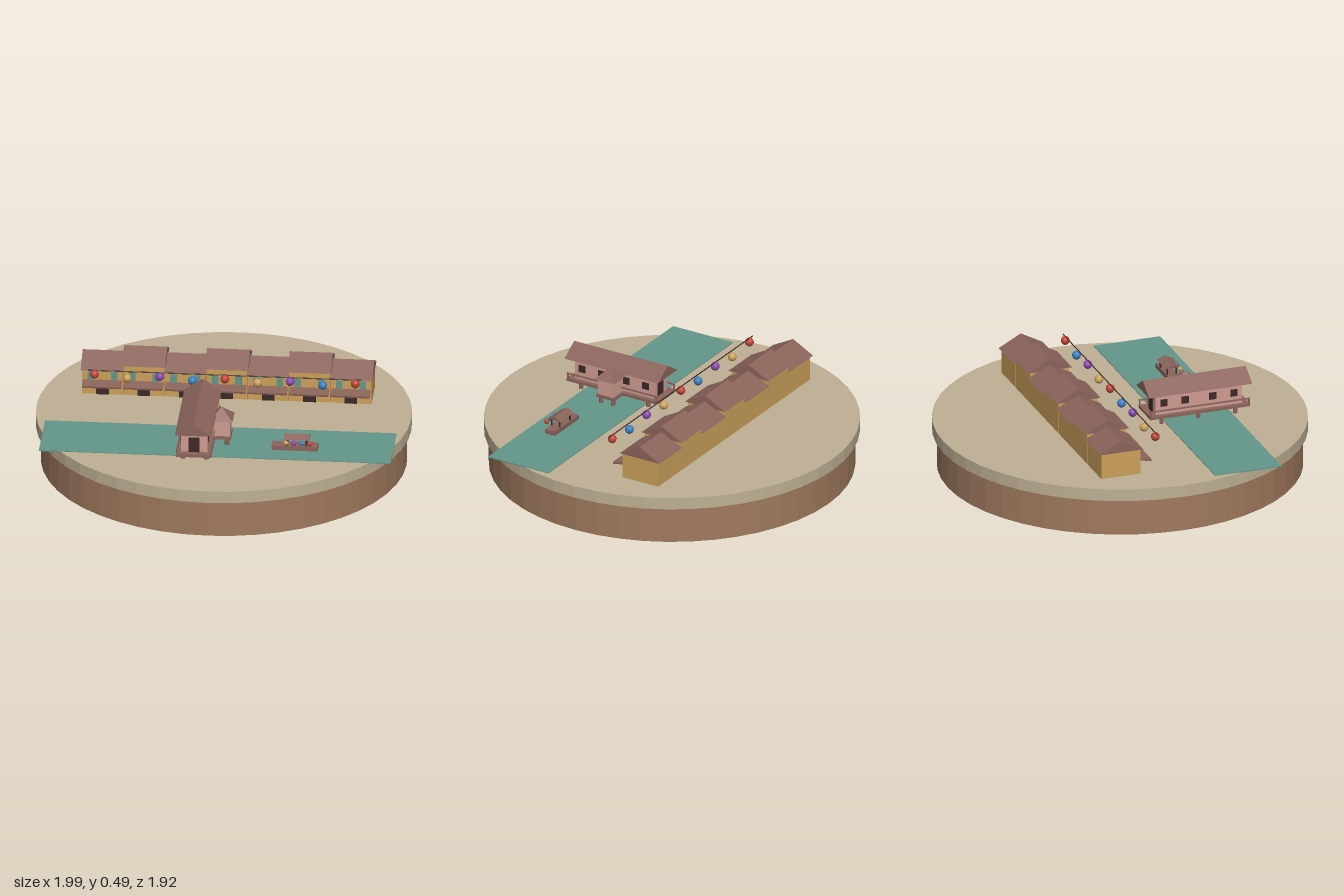
import * as THREE from 'three';

const mat = (name, color) => {
  const m = new THREE.MeshStandardMaterial({ color, flatShading: true });
  m.name = name;
  return m;
};

export function createModel() {
  const earth = mat('earth brown', 0xa07a5e), sand = mat('sand', 0xbfb094);
  const water = mat('river teal', 0x649689), roofMat = mat('roof brown', 0x8b645b);
  const ochre = mat('ochre', 0xcba05a), pink = mat('pink plaster', 0xd09c90);
  const dark = mat('dark wood', 0x3c2a28), red = mat('lantern red', 0xbf4436);
  const purple = mat('lantern purple', 0x8a48ae), blue = mat('lantern blue', 0x3a7ebd);
  const lanternColors = [red, ochre, purple, blue];

  const model = new THREE.Group();
  model.name = 'riversideTown';

  const add = (parent, name, geo, material, x = 0, y = 0, z = 0) => {
    const mesh = new THREE.Mesh(geo, material);
    mesh.name = name;
    mesh.position.set(x, y, z);
    parent.add(mesh);
    return mesh;
  };
  const box = (parent, name, material, w, h, d, x, y, z) =>
    add(parent, name, new THREE.BoxGeometry(w, h, d), material, x, y, z);

  // Gable roof with its ridge along x, base at y
  const gable = (parent, name, length, depth, height, x, y, z) => {
    const s = new THREE.Shape();
    s.moveTo(-depth / 2, 0);
    s.lineTo(depth / 2, 0);
    s.lineTo(0, height);
    s.closePath();
    const geo = new THREE.ExtrudeGeometry(s, { depth: length, bevelEnabled: false });
    geo.translate(0, 0, -length / 2).rotateY(Math.PI / 2);
    return add(parent, name, geo, roofMat, x, y, z);
  };

  const group = (name, parent) => {
    const g = new THREE.Group();
    g.name = name;
    parent.add(g);
    return g;
  };

  // Round base; the town is turned on top of it
  const town = group('town', model);
  town.position.set(0.035, 0, -0.005);
  add(town, 'earthBase', new THREE.CylinderGeometry(0.935, 0.935, 0.196, 48), earth, 0, 0.098, 0);
  add(town, 'sandDisc', new THREE.CylinderGeometry(0.96, 0.96, 0.064, 48), sand, 0, 0.228, 0);
  town.rotation.y = -Math.PI / 9;
  const ground = 0.26;

  box(town, 'river', water, 1.8, 0.006, 0.36, 0, 0.261, 0.367);

  // Row of seven houses, alternating low and tall
  for (let i = 0; i < 7; i++) {
    const house = group('house', town);
    house.position.set((i - 3) * 0.212, ground, -0.266);
    const h = i % 2 ? 0.17 : 0.138;
    box(house, 'houseWalls', ochre, 0.209, h, 0.212, 0, h / 2, 0);
    gable(house, 'houseRoof', 0.222, 0.24, 0.064, 0, h - 0.003, 0);
    box(house, 'door', dark, 0.064, 0.068, 0.006, 0, 0.034, 0.107);
    for (const s of [-1, 1]) {
      box(house, 'window', water, 0.034, 0.046, 0.006, s * 0.06, 0.103, 0.107);
    }
    const awning = box(house, 'awning', roofMat, 0.2, 0.01, 0.066, 0, 0.07, 0.135);
    awning.rotation.x = 0.18;
  }

  // Lantern string along the street
  const lantern = (parent, i, r, x, y, z) =>
    add(parent, 'lantern', new THREE.SphereGeometry(r, 12, 8), lanternColors[i % 4], x, y, z);
  const cord = new THREE.CylinderGeometry(0.003, 0.003, 1.4, 6).rotateZ(Math.PI / 2);
  add(town, 'lanternCord', cord, dark, 0, 0.442, -0.053);
  for (let i = 0; i < 9; i++) {
    lantern(town, i, 0.023, (i - 4) * 0.167, i % 2 ? 0.406 : 0.421, -0.053);
  }

  // Covered bridge on stilts across the river
  const bridge = group('coveredBridge', town);
  bridge.position.set(-0.1, ground, 0.367);
  box(bridge, 'bridgeDeck', roofMat, 0.18, 0.015, 0.54, 0, 0.045, 0);
  box(bridge, 'bridgeWalls', pink, 0.135, 0.115, 0.47, 0, 0.108, 0);
  gable(bridge, 'bridgeRoof', 0.56, 0.19, 0.062, 0, 0.162, 0).rotation.y = Math.PI / 2;
  const stilt = new THREE.CylinderGeometry(0.012, 0.012, 0.045, 8);
  for (const s of [-1, 1]) {
    box(bridge, 'bridgeRail', roofMat, 0.006, 0.007, 0.54, s * 0.086, 0.08, 0);
    for (const z of [-0.2, 0, 0.2]) {
      add(bridge, 'stilt', stilt, roofMat, s * 0.06, 0.0215, z);
    }
    for (const z of [-0.19, -0.075, 0.075, 0.19]) {
      box(bridge, 'bridgeWindow', dark, 0.006, 0.038, 0.038, s * 0.0685, 0.115, z);
    }
    box(bridge, 'bridgeDoor', dark, 0.055, 0.08, 0.006, 0, 0.093, s * 0.236);
    for (const z of [-0.265, 0.265]) {
      box(bridge, 'railPost', roofMat, 0.007, 0.035, 0.007, s * 0.086, 0.066, z);
    }
  }

  // Pavilion on the side of the bridge
  const pavilion = group('pavilion', bridge);
  pavilion.position.set(0.12, 0, -0.01);
  box(pavilion, 'pavilionDeck', roofMat, 0.1, 0.015, 0.11, 0, 0.045, 0);
  box(pavilion, 'pavilionWalls', pink, 0.09, 0.09, 0.09, 0, 0.096, 0);
  const pyramid = new THREE.ConeGeometry(0.085, 0.058, 4).rotateY(Math.PI / 4);
  add(pavilion, 'pavilionRoof', pyramid, roofMat, 0, 0.168, 0);
  for (const s of [-1, 1]) {
    add(pavilion, 'stilt', stilt, roofMat, 0.03, 0.0215, s * 0.035);
  }

  // Small boat with a canopy and four lanterns
  const boat = group('boat', town);
  boat.position.set(0.4, ground, 0.413);
  box(boat, 'boatHull', roofMat, 0.235, 0.024, 0.06, 0, 0.017, 0);
  gable(boat, 'boatCanopy', 0.13, 0.078, 0.02, 0.01, 0.068, 0);
  for (const x of [-0.04, 0.06]) {
    for (const z of [-0.024, 0.024]) {
      box(boat, 'canopyPost', dark, 0.007, 0.045, 0.007, x, 0.047, z);
    }
  }
  for (let i = 0; i < 4; i++) {
    lantern(boat, i + 1, 0.013, -0.043 + i * 0.041, 0.053, 0.042);
  }

  return model;
}
